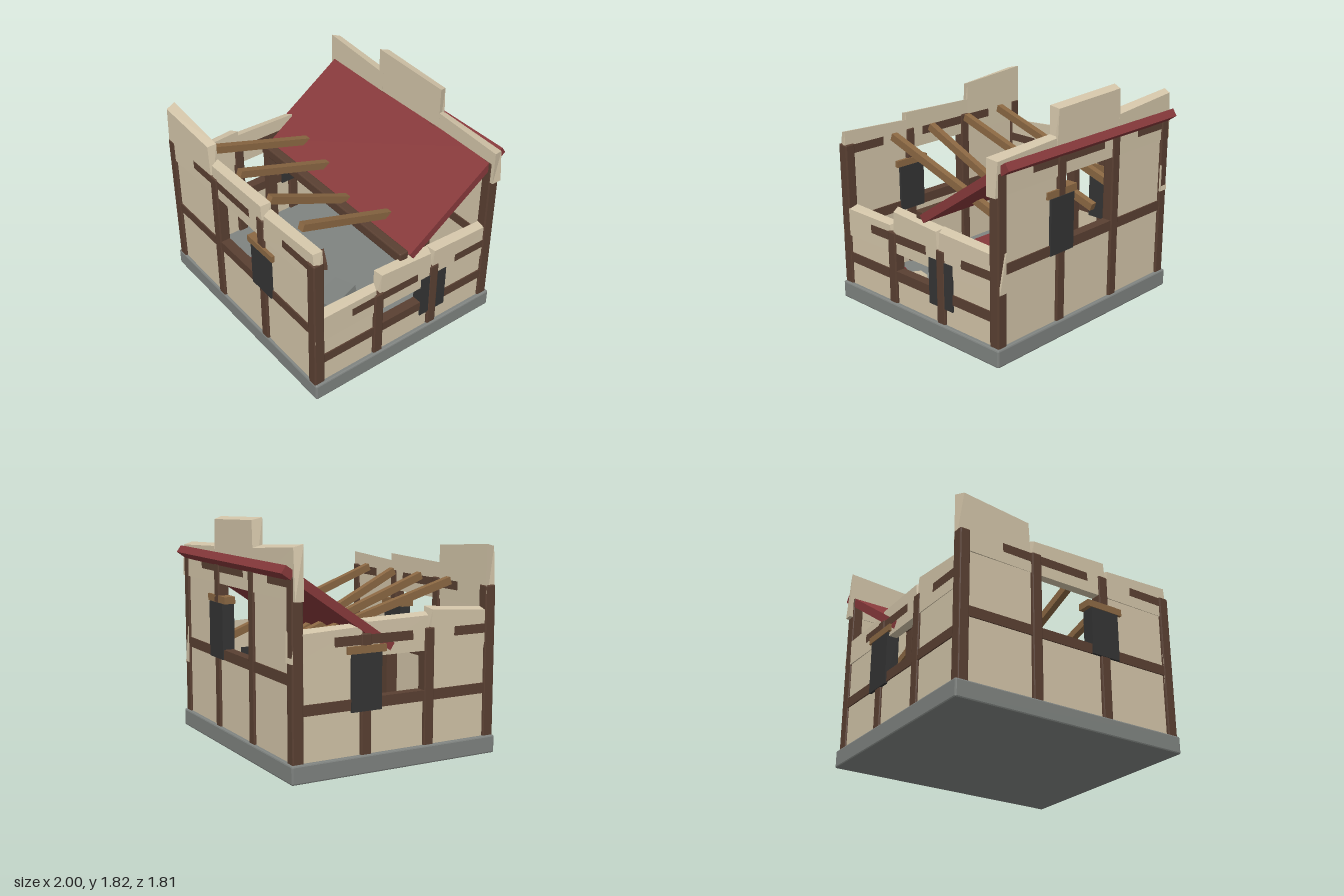
import * as THREE from 'three';
import { RoundedBoxGeometry } from 'three/addons/geometries/RoundedBoxGeometry.js';

const mat = (name, color) => {
  const m = new THREE.MeshStandardMaterial({ color, flatShading: true });
  m.name = name;
  return m;
};

export function createModel() {
  const plaster = mat('plaster', 0xd2c4a8);
  const timber = mat('dark timber', 0x5a4032);
  const rafterWood = mat('rafter wood', 0x8b6843);
  const tile = mat('red roof', 0x87393b);
  const stone = mat('stone', 0x7f8380);
  const iron = mat('charred shutter', 0x343434);

  const model = new THREE.Group();
  model.name = 'ruinedCottage';

  const add = (parent, name, geo, material, x = 0, y = 0, z = 0) => {
    const m = new THREE.Mesh(geo, material);
    m.name = name;
    m.position.set(x, y, z);
    parent.add(m);
    return m;
  };
  const box = (w, h, d) => new THREE.BoxGeometry(w, h, d);
  const bevelBox = (w, h, d, r = 0.01) => new RoundedBoxGeometry(w, h, d, 1, r);

  const FLOOR = 0.14;

  // Stone foundation
  add(model, 'foundation', bevelBox(1.985, FLOOR, 1.75, 0.012), stone, 0, FLOOR / 2, 0.025);

  // Broken slab of plaster: a box with a slanted, chipped top and tapering depth
  const brokenSlab = (u0, u1, y0, topL, topR, depthL, depthR) => {
    const g = box(1, 1, 1);
    const p = g.attributes.position;
    for (let i = 0; i < p.count; i++) {
      const right = p.getX(i) > 0, up = p.getY(i) > 0, front = p.getZ(i) > 0;
      const inset = up && front ? 0.025 : 0;
      p.setXYZ(i,
        right ? u1 - inset : u0 + inset,
        up ? (right ? topR : topL) - (front ? 0.02 : 0) : y0,
        (front ? 1 : -1) * (right ? depthR : depthL));
    }
    g.computeVertexNormals();
    return g;
  };

  // One half-timbered wall; local x runs along it, local +z points outwards
  function wall(o) {
    const w = new THREE.Group();
    w.name = o.name;
    w.position.set(o.x, 0, o.z);
    w.rotation.y = o.turn;
    model.add(w);
    const { half, inner, sill, top } = o;

    // Upright posts
    const posts = o.corners ? [-half, -inner, inner, half] : [-inner, inner];
    const postH = top + 0.045;
    for (const u of posts) add(w, 'post', bevelBox(0.085, postH - 0.02, 0.09), timber, u, (postH + 0.02) / 2, 0);

    // Sill rail and top beam
    add(w, 'sillRail', box(half * 2 - 0.04, 0.08, 0.08), timber, 0, sill, 0);
    add(w, 'topBeam', box(half * 2 - 0.04, 0.07, 0.072), timber, 0, top, 0);

    // Plaster infill: three lower panels, two upper ones beside the window
    const slabBase = top - 0.125;
    const bays = [[-half, -inner], [-inner, inner], [inner, half]];
    bays.forEach(([a, b], i) => {
      const width = b - a - 0.1, mid = (a + b) / 2;
      const lowH = sill - 0.04 - FLOOR;
      add(w, 'lowerPanel', box(width, lowH, 0.06), plaster, mid, FLOOR + lowH / 2, 0);
      if (i !== 1) {
        const upH = slabBase + 0.03 - sill - 0.04;
        add(w, 'upperPanel', box(width, upH, 0.06), plaster, mid, sill + 0.04 + upH / 2, 0);
      }
    });

    // Jagged remains of the wall top
    const depths = [[0.042, 0.032], [0.033, 0.037], [0.038, 0.033]];
    o.tops.forEach(([u0, u1, tl, tr], i) =>
      add(w, 'brokenWallTop', brokenSlab(u0, u1, slabBase, tl, tr, ...depths[i]), plaster));

    // Shutter and the board above it
    const u = inner * o.shutterSide, [s0, s1] = o.shutter;
    add(w, 'shutter', box(0.25, s1 - s0, o.shutterDepth), iron, u, (s0 + s1) / 2, 0);
    add(w, 'shutterBoard', box(0.32, 0.055, o.boardDepth), rafterWood, u, s1 + 0.028, 0);
  }

  wall({
    name: 'frontWall', x: 0, z: 0.85, turn: 0, half: 0.93, inner: 0.31, corners: true,
    sill: 0.66, top: 1.255, shutterSide: 1, shutter: [0.62, 1.0], shutterDepth: 0.1, boardDepth: 0.11,
    tops: [[-0.97, -0.35, 1.61, 1.56], [-0.35, 0.35, 1.42, 1.44], [0.34, 0.97, 1.38, 1.41]],
  });
  wall({
    name: 'backWall', x: 0, z: -0.79, turn: Math.PI, half: 0.93, inner: 0.31, corners: true,
    sill: 0.73, top: 1.405, shutterSide: -1, shutter: [0.69, 1.13], shutterDepth: 0.1, boardDepth: 0.09,
    tops: [[-1, -0.34, 1.555, 1.585], [-0.37, 0.36, 1.795, 1.82], [0.31, 1, 1.62, 1.67]],
  });
  wall({
    name: 'leftWall', x: 0.93, z: 0.03, turn: Math.PI / 2, half: 0.82, inner: 0.27, corners: false,
    sill: 0.37, top: 0.68, shutterSide: 1, shutter: [0.27, 0.64], shutterDepth: 0.085, boardDepth: 0.07,
    tops: [[-0.86, -0.27, 0.8, 0.79], [-0.27, 0.25, 0.91, 0.88], [0.24, 0.87, 0.885, 0.86]],
  });
  wall({
    name: 'rightWall', x: -0.93, z: 0.03, turn: -Math.PI / 2, half: 0.82, inner: 0.27, corners: false,
    sill: 0.515, top: 0.975, shutterSide: -1, shutter: [0.46, 0.88], shutterDepth: 0.1, boardDepth: 0.11,
    tops: [[-0.87, -0.28, 1.07, 1.09], [-0.28, 0.28, 1.12, 1.13], [0.27, 0.85, 1.17, 1.13]],
  });

  // Box stretched between two points
  const between = (name, a, b, w, h, material) => {
    const A = new THREE.Vector3(...a), B = new THREE.Vector3(...b);
    const m = add(model, name, box(w, h, A.distanceTo(B)), material);
    m.position.addVectors(A, B).multiplyScalar(0.5);
    m.lookAt(B);
  };

  // Surviving rear roof slope and the beam carrying its lower edge
  between('roofSlope', [-0.01, 0.905, -0.02], [-0.01, 1.505, -0.89], 1.91, 0.065, tile);
  add(model, 'roofBeam', bevelBox(1.82, 0.09, 0.08), timber, 0.01, 0.905, 0.03);
  add(model, 'roofProp', box(0.07, 0.74, 0.08), timber, -0.84, 0.5, 0.03);

  // Collapsed rafters: high x, low x, low y, low z
  for (const [x0, x1, y1, z1] of [
    [-0.63, -0.585, 0.9, -0.66], [-0.23, -0.285, 0.83, -0.64],
    [0.17, 0.105, 0.69, -0.57], [0.57, 0.51, 0.82, -0.63],
  ]) between('fallenRafter', [x0, 1.31, 0.71], [x1, y1, z1], 0.055, 0.06, rafterWood);

  // Rubble on the floor: material, centre, size, rotation
  for (const [material, pos, size, rot] of [
    [stone, [-0.39, 0.16, 0.53], [0.28, 0.06, 0.22], [0.05, 0.5, 0.08]],
    [tile, [-0.27, 0.22, 0.47], [0.28, 0.04, 0.31], [0.12, -0.28, -0.1]],
    [stone, [0.31, 0.17, 0.21], [0.21, 0.09, 0.3], [0.08, 0.25, 0.12]],
    [timber, [-0.1, 0.2, 0.08], [0.2, 0.07, 0.14], [0.1, -0.5, 0.1]],
    [stone, [0.72, 0.16, 0.5], [0.24, 0.05, 0.16], [0, 0.35, 0.06]],
    [plaster, [0.61, 0.19, 0.45], [0.14, 0.05, 0.16], [0.2, -0.4, 0.15]],
    [tile, [0.78, 0.21, 0.62], [0.26, 0.04, 0.22], [0.1, 0.22, -0.08]],
  ]) add(model, 'rubble', box(...size), material, ...pos).rotation.set(...rot);

  return model;
}
